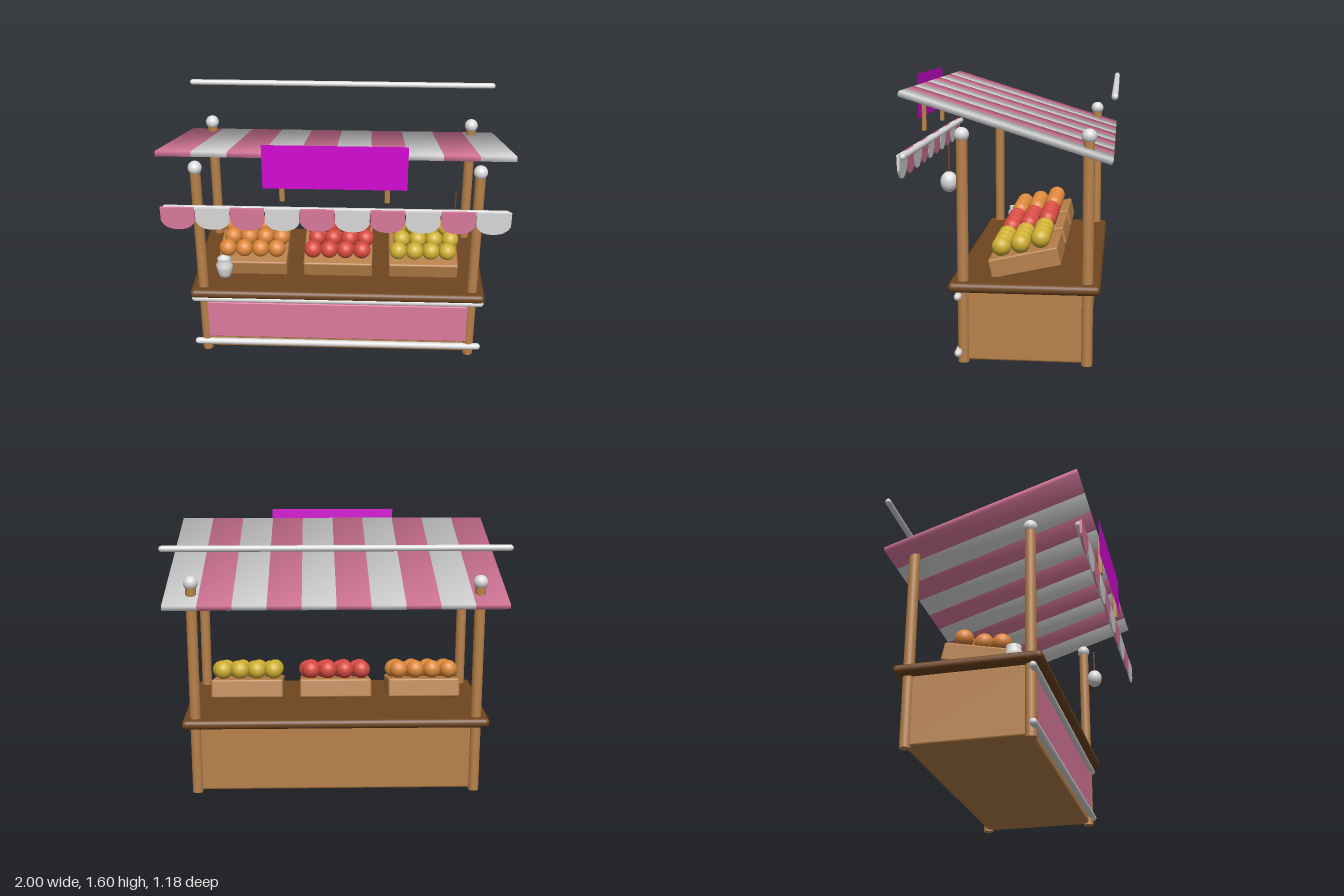
import * as THREE from 'three';
import { RoundedBoxGeometry } from 'three/addons/geometries/RoundedBoxGeometry.js';

function material(name, color) {
  const m = new THREE.MeshStandardMaterial({ color });
  m.name = name;
  return m;
}

export function createModel() {
  const model = new THREE.Group();
  model.name = 'marketStall';

  const wood = material('wood', 0xb8814a);
  const darkWood = material('darkWood', 0x70461f);
  const white = material('white', 0xdcdcdc);
  const pink = material('pink', 0xdc7a9e);
  const magenta = material('magenta', 0xd408d4);
  magenta.side = THREE.DoubleSide;
  white.side = THREE.DoubleSide;
  const orange = material('orange', 0xdd873a);
  const red = material('red', 0xd84a42);
  const yellow = material('yellow', 0xcfb032);

  const add = (parent, name, geometry, mat, x = 0, y = 0, z = 0) => {
    const mesh = new THREE.Mesh(geometry, mat);
    mesh.name = name;
    mesh.position.set(x, y, z);
    parent.add(mesh);
    return mesh;
  };
  const group = (name) => {
    const g = new THREE.Group();
    g.name = name;
    model.add(g);
    return g;
  };
  const roundBox = (w, h, d, r) => new RoundedBoxGeometry(w, h, d, 3, r);

  // Horizontal rod along x with softly rounded ends
  const rod = (name, length, radius, y, z) => {
    const geo = new THREE.CapsuleGeometry(radius, length - radius, 3, 16);
    geo.scale(1, length / (length + radius), 1);
    geo.rotateZ(Math.PI / 2);
    return add(model, name, geo, white, 0, y, z);
  };

  // Box whose corner normals point outward, for a soft cloth look
  const softBox = (w, h, d) => {
    const geo = new THREE.BoxGeometry(w, h, d);
    const p = geo.attributes.position;
    const k = 1 / Math.sqrt(3);
    for (let i = 0; i < p.count; i++) {
      geo.attributes.normal.setXYZ(i,
        Math.sign(p.getX(i)) * k, Math.sign(p.getY(i)) * k, Math.sign(p.getZ(i)) * k);
    }
    return geo;
  };

  // Counter
  add(model, 'counterBody', roundBox(1.71, 0.42, 0.71, 0.015), wood, 0, 0.22, -0.093);
  add(model, 'counterTop', roundBox(1.845, 0.056, 0.85, 0.026), darkWood, 0, 0.447, -0.09);
  add(model, 'frontPanel', roundBox(1.73, 0.26, 0.03, 0.005), pink, 0, 0.23, 0.266);
  rod('upperFrontRail', 1.845, 0.021, 0.392, 0.28);
  rod('lowerFrontRail', 1.845, 0.021, 0.064, 0.28);

  // Posts with ball finials
  const posts = group('posts');
  const postGeo = new THREE.CylinderGeometry(0.032, 0.032, 1.29, 24);
  const ballGeo = new THREE.SphereGeometry(0.042, 24, 16);
  for (const x of [-0.845, 0.845]) {
    for (const z of [0.256, -0.442]) {
      add(posts, 'post', postGeo, wood, x, 0.645, z);
      add(posts, 'finial', ballGeo, white, x, 1.297, z);
    }
  }

  // Sloping striped canopy
  const canopy = group('canopy');
  canopy.position.set(0, 1.353, -0.002);
  canopy.rotation.x = -Math.atan2(0.354, 1.144);
  const stripeGeo = softBox(0.2, 0.03, 1.195);

  // Hanging scalloped edge
  const valance = group('valance');
  const scallop = new THREE.Shape();
  scallop.moveTo(-0.098, 0);
  scallop.lineTo(-0.098, -0.085);
  scallop.bezierCurveTo(-0.08, -0.125, -0.05, -0.14, 0, -0.14);
  scallop.bezierCurveTo(0.05, -0.14, 0.08, -0.125, 0.098, -0.085);
  scallop.lineTo(0.098, 0);
  const scallopGeo = new THREE.ExtrudeGeometry(scallop, { depth: 0.018, bevelEnabled: false, curveSegments: 8 });
  const sp = scallopGeo.attributes.position;
  for (let i = 0; i < sp.count; i++) {
    // thin toward the bottom
    const t = 1 + sp.getY(i) * 4;
    sp.setZ(i, 0.009 + (sp.getZ(i) - 0.009) * t);
  }
  scallopGeo.computeVertexNormals();
  for (let i = 0; i < 10; i++) {
    const mat = i % 2 ? white : pink;
    const x = -0.9 + i * 0.2;
    add(canopy, 'canopyStripe', stripeGeo, mat, x, 0, 0);
    add(valance, 'scallop', scallopGeo, mat, x, 1.2, 0.568);
  }
  rod('valanceRail', 1.98, 0.018, 1.186, 0.558);
  rod('backRail', 2, 0.018, 1.52, -0.577);

  // Sign board and its struts
  add(model, 'signBoard', new THREE.PlaneGeometry(0.81, 0.265), magenta, 0, 1.468, 0.588);
  for (const x of [-0.298, 0.294]) {
    add(model, 'signStrut', roundBox(0.03, 0.25, 0.026, 0.006), wood, x, 1.375, 0.573);
  }

  // Tilted crates, each with three rows of fruit
  const crateGeo = roundBox(0.44, 0.114, 0.405, 0.012);
  const fruitGeo = new THREE.SphereGeometry(0.056, 20, 14);
  const rows = [[0.057, 0.639, -0.005], [-0.054, 0.664, 0.017], [-0.167, 0.692, -0.005]];
  [['orange', orange, -0.547], ['redFruit', red, -0.002], ['yellowFruit', yellow, 0.543]].forEach(([name, mat, cx]) => {
    const display = group(name + 'Display');
    add(display, 'crate', crateGeo, wood, cx, 0.56, -0.08).rotation.x = 0.217;
    for (const [z, y, shift] of rows) {
      for (let i = 0; i < 4; i++) {
        add(display, name, fruitGeo, mat, cx + shift + (i - 1.5) * 0.104, y, z);
      }
    }
  });

  // Jar on the counter
  const jarProfile = [[0, 0], [0.038, 0], [0.043, 0.02], [0.053, 0.06], [0.053, 0.085],
    [0.04, 0.108], [0.046, 0.125], [0.038, 0.125], [0.034, 0.105], [0, 0.1]]
    .map(([r, y]) => new THREE.Vector2(r, y));
  add(model, 'jar', new THREE.LatheGeometry(jarProfile, 24), white, -0.727, 0.475, 0.13);

  // Hanging lamp
  const bulb = add(model, 'lamp', new THREE.SphereGeometry(0.05, 24, 16), white, 0.698, 1.01, 0.354);
  bulb.scale.y = 1.2;
  add(model, 'lampCord', new THREE.CylinderGeometry(0.005, 0.005, 0.155, 8), darkWood, 0.698, 1.138, 0.354);

  return model;
}
